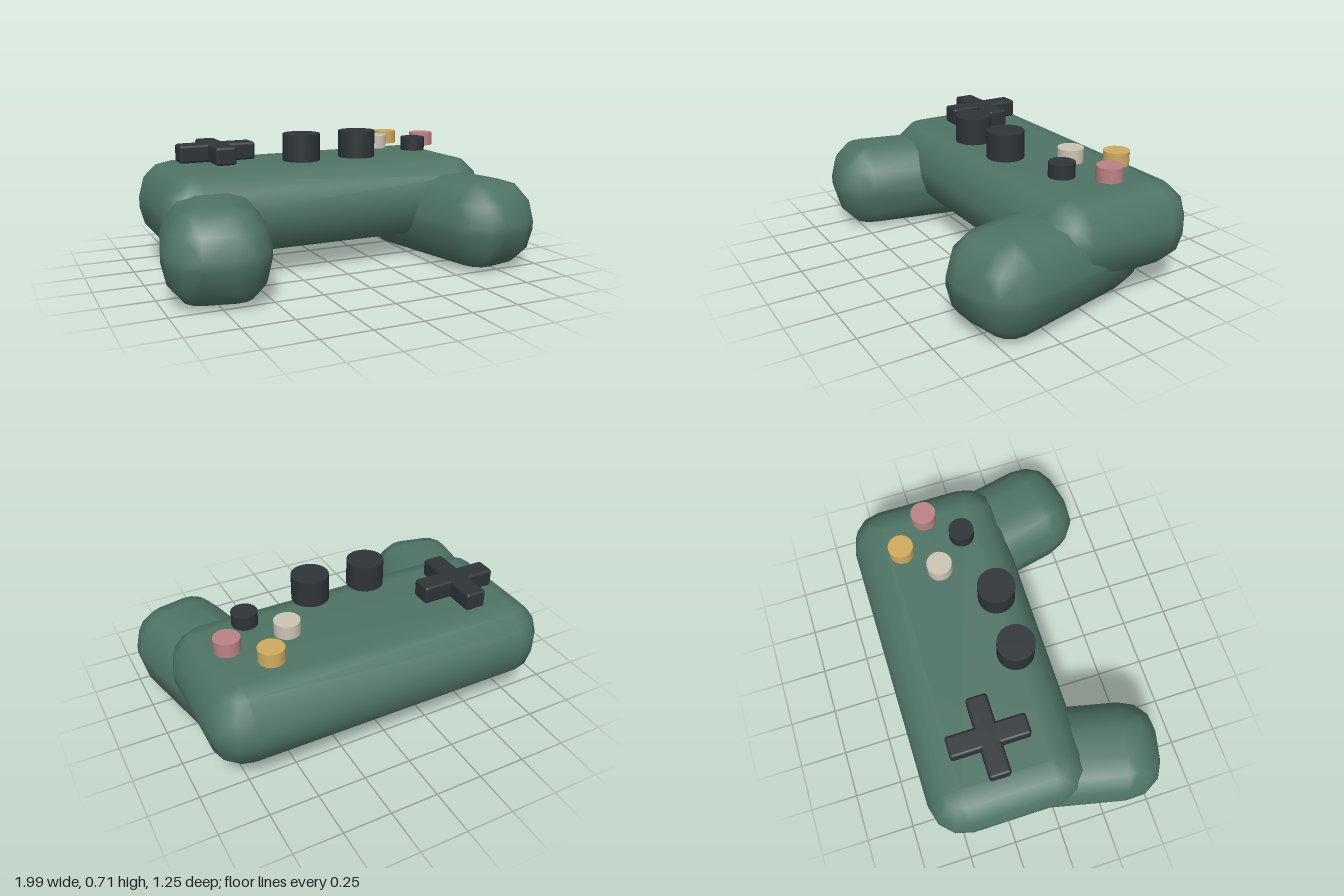
import * as THREE from 'three';
import { ConvexGeometry } from 'three/addons/geometries/ConvexGeometry.js';
import { RoundedBoxGeometry } from 'three/addons/geometries/RoundedBoxGeometry.js';
import { mergeVertices } from 'three/addons/utils/BufferGeometryUtils.js';

const paint = (color) => new THREE.MeshStandardMaterial({ color });
const green = paint(0x4f7466);
const dark = paint(0x2f3437);

// Box with three-facet rounded edges; half sizes and corner radii per axis
function pillow(half, radius) {
  const points = [];
  for (const sx of [-1, 1]) for (const sy of [-1, 1]) for (const sz of [-1, 1]) {
    for (let i = 0; i <= 3; i++) {
      const lat = (i * Math.PI) / 6;
      const steps = i === 3 ? 0 : 3; // a single point at the pole
      for (let j = 0; j <= steps; j++) {
        const lon = (j * Math.PI) / 6;
        const dir = [Math.cos(lat) * Math.cos(lon), Math.sin(lat), Math.cos(lat) * Math.sin(lon)];
        const p = [sx, sy, sz].map((s, k) => s * (half[k] - radius[k] + radius[k] * dir[k]));
        points.push(new THREE.Vector3(...p));
      }
    }
  }
  // Shared vertices give soft shading across the facets
  let geometry = new ConvexGeometry(points);
  geometry.deleteAttribute('normal');
  geometry = mergeVertices(geometry, 1e-4);
  geometry.computeVertexNormals();
  return geometry;
}

export function createModel() {
  const model = new THREE.Group();
  model.name = 'gameController';

  const add = (name, geometry, material, x, y, z, parent = model) => {
    const mesh = new THREE.Mesh(geometry, material);
    mesh.name = name;
    mesh.position.set(x, y, z);
    parent.add(mesh);
    return mesh;
  };

  // Main shell
  add('body', pillow([0.917, 0.215, 0.415], [0.185, 0.185, 0.185]), green, 0, 0.33, -0.215);

  // Hand grips, splayed outwards towards the front
  const gripGeometry = pillow([0.256, 0.232, 0.51], [0.18, 0.21, 0.2]);
  for (const side of [-1, 1]) {
    const grip = add(side > 0 ? 'leftGrip' : 'rightGrip', gripGeometry, green, side * 0.676, 0.232, 0.105);
    grip.rotation.y = side * 0.218;
  }

  // Directional pad: two crossed bars
  const pad = new THREE.Group();
  pad.name = 'directionPad';
  pad.position.set(-0.543, 0.608, -0.25);
  model.add(pad);
  add('padBarAcross', new RoundedBoxGeometry(0.41, 0.095, 0.11, 2, 0.015), dark, 0, 0, 0, pad);
  add('padBarAlong', new RoundedBoxGeometry(0.11, 0.095, 0.41, 2, 0.015), dark, 0, 0, 0, pad);

  // Thumb sticks
  const stickGeometry = new THREE.CylinderGeometry(0.097, 0.097, 0.14, 28);
  for (const side of [-1, 1]) {
    add(side > 0 ? 'leftStick' : 'rightStick', stickGeometry, dark, side * 0.16, 0.645, 0.015);
  }

  // Four action buttons in a diamond
  const buttonGeometry = new THREE.CylinderGeometry(0.066, 0.066, 0.072, 24);
  const buttons = [
    ['backButton', 0xd0ab5f, 0.55, -0.385],
    ['innerButton', 0xcbc5b4, 0.396, -0.22],
    ['outerButton', 0xbb8286, 0.704, -0.22],
    ['frontButton', 0x2f3437, 0.55, -0.055],
  ];
  for (const [name, color, x, z] of buttons) {
    add(name, buttonGeometry, paint(color), x, 0.615, z);
  }

  return model;
}
